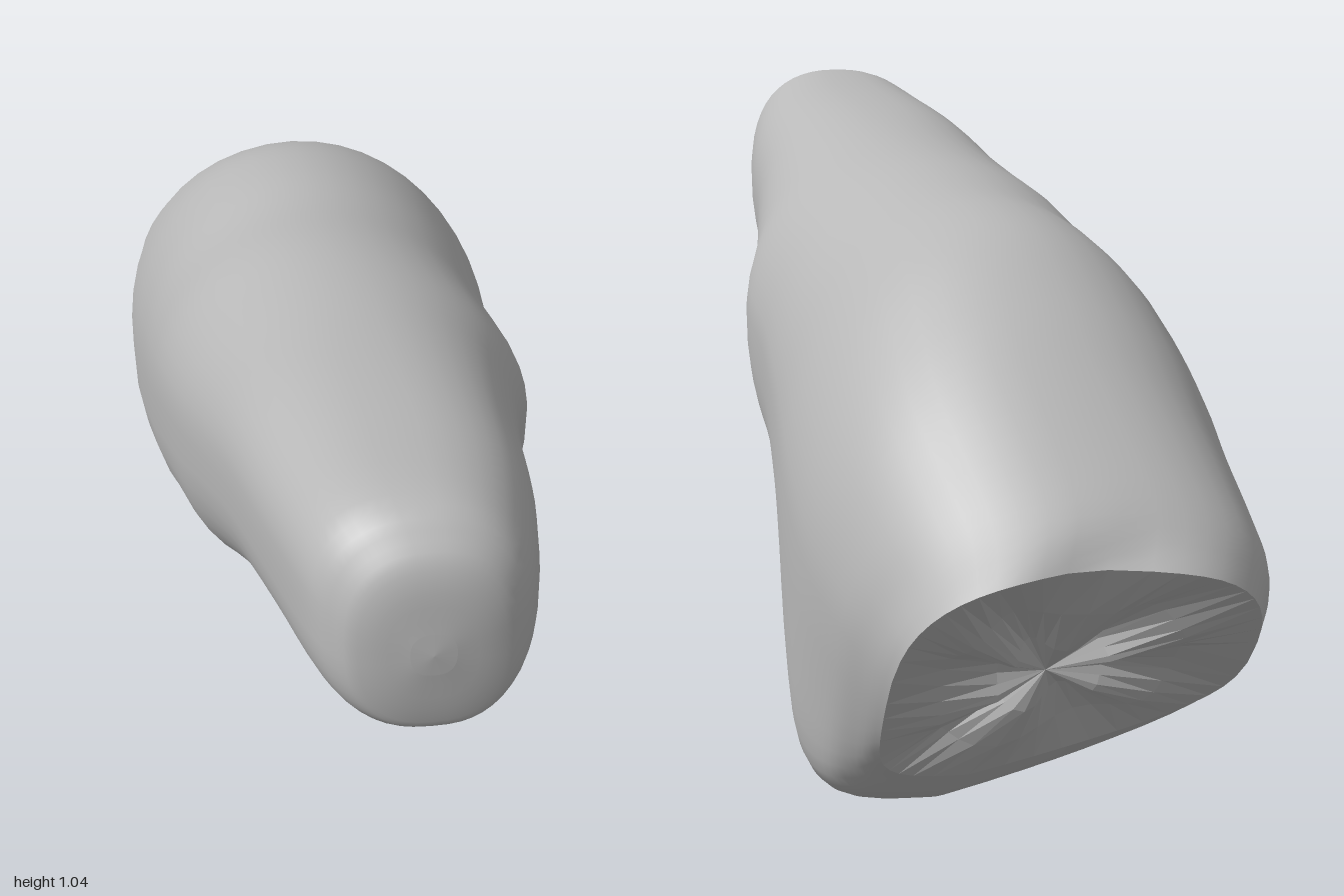
import * as THREE from 'three';

const SIDES = 48;

// One cross-section: top and bottom points (z, y), x range, sideways shift of
// the belly and of the crown, and the squareness of the upper half
function ring([zt, yt, zb, yb, x0, x1, belly = 0, crown = 0, n = 2.4], warp) {
  const pts = [];
  for (let j = 0; j < SIDES; j++) {
    const a = (j / SIDES) * Math.PI * 2;
    const e = 2 / (Math.sin(a) < 0 ? 2.6 : n);
    const c = Math.sign(Math.cos(a)) * Math.abs(Math.cos(a)) ** e;
    const s = Math.sign(Math.sin(a)) * Math.abs(Math.sin(a)) ** e;
    const k = s < 0 ? 0.53 * (1 + s) : 0.53 + 0.47 * s;
    const lean = s < 0 ? belly * Math.abs(s) ** 3 : crown * s;
    const lift = s < 0 && c < 0 ? 0.5 * belly * c * s : 0;
    const x = (x0 + x1) / 2 + ((x1 - x0) / 2) * c + lean;
    const p = new THREE.Vector3(x, yb + (yt - yb) * k + lift, zb + (zt - zb) * k);
    if (warp) warp(p, s);
    pts.push(p);
  }
  return pts;
}

// Skin a list of rings, running from front to back
function skin(rings, flat) {
  const pos = [], idx = [];
  rings.forEach((r) => r.forEach((p) => pos.push(p.x, p.y, p.z)));
  for (let i = 0; i < rings.length - 1; i++) {
    for (let j = 0; j < SIDES; j++) {
      const a = i * SIDES + j, b = i * SIDES + ((j + 1) % SIDES);
      idx.push(a, a + SIDES, b, b, a + SIDES, b + SIDES);
    }
  }
  let g = new THREE.BufferGeometry();
  g.setAttribute('position', new THREE.Float32BufferAttribute(pos, 3));
  g.setIndex(idx);
  if (flat) g = g.toNonIndexed();
  g.computeVertexNormals();
  return g;
}

// Smooth the rings lengthwise with a curve through each column
function smooth(rings, steps) {
  const count = (rings.length - 1) * steps;
  const columns = rings[0].map((_, j) =>
    new THREE.CatmullRomCurve3(rings.map((r) => r[j]), false, 'catmullrom', 0.5).getPoints(count));
  return Array.from({ length: count + 1 }, (_, i) => columns.map((col) => col[i]));
}

export function createModel() {
  const group = new THREE.Group();
  group.name = 'taperedLump';
  const grey = new THREE.MeshStandardMaterial({ color: 0xb8b8b8, side: THREE.DoubleSide });
  grey.name = 'grey';

  // Notch between the two tips at the upper back rim
  const notch = (p, s) => {
    if (s > 0) p.z += 0.035 * s * Math.exp(-((p.x / 0.08) ** 2));
  };

  // Narrow raised front end swelling into a lopsided belly
  const rows = [
    [0.992, 0.9, 0.999, 0.84, -0.03, 0.03],
    [0.975, 0.97, 0.997, 0.77, -0.085, 0.085],
    [0.945, 1.01, 0.985, 0.745, -0.12, 0.118],
    [0.88, 1.04, 0.92, 0.725, -0.155, 0.15, 0, -0.01],
    [0.7, 1.015, 0.7, 0.655, -0.19, 0.185, 0, -0.01],
    [0.5, 0.985, 0.5, 0.575, -0.22, 0.205, 0, -0.01, 2.3],
    [0.3, 0.95, 0.3, 0.455, -0.25, 0.24, 0, -0.01, 2.1],
    [0.15, 0.925, 0.15, 0.36, -0.275, 0.28, 0, -0.02, 2],
    [0, 0.9, 0, 0.275, -0.295, 0.278, 0.03, -0.02, 2],
    [-0.15, 0.87, -0.1, 0.18, -0.303, 0.283, 0.07, -0.02, 2],
    [-0.3, 0.855, -0.2, 0.1, -0.31, 0.295, 0.1, -0.02, 2],
    [-0.45, 0.82, -0.3, 0.05, -0.318, 0.308, 0.12, -0.02, 2],
    [-0.6, 0.74, -0.4, 0.015, -0.318, 0.312, 0.14, -0.02, 2.1],
    [-0.72, 0.66, -0.48, 0.002, -0.308, 0.305, 0.14, -0.02, 2.2],
    [-0.84, 0.57, -0.56, 0.015, -0.297, 0.285, 0.14, -0.03, 2.3],
    [-0.93, 0.495, -0.61, 0.035, -0.285, 0.26, 0.12, -0.03, 2.5],
  ].map((r) => ring(r));
  const rim = ring([-1.005, 0.43, -0.66, 0.075, -0.255, 0.24, 0.1, -0.01, 2.7], notch);
  const body = new THREE.Mesh(skin(smooth([...rows, rim], 4)), grey);
  body.name = 'body';
  group.add(body);

  // Close the blunt front
  const tip = new THREE.Vector3(0, 0.87, 0.998);
  const front = new THREE.Mesh(skin([rows[0].map(() => tip), rows[0]]), grey);
  front.name = 'frontTip';
  group.add(front);

  // Gathered back end, pleated towards a sunken centre
  const centre = new THREE.Vector3(0.01, 0.25, -0.77);
  const pleat = (t, depth) => rim.map((p, j) => {
    const fold = depth * Math.cos((j / SIDES) * Math.PI * 2 * 6);
    return p.clone().lerp(centre, t).add(new THREE.Vector3(0, 0.7 * fold, fold));
  });
  const back = new THREE.Mesh(
    skin([rim, pleat(0.35, 0.012), pleat(0.7, 0.015), rim.map(() => centre)], true), grey);
  back.name = 'gatheredBack';
  group.add(back);

  return group;
}
